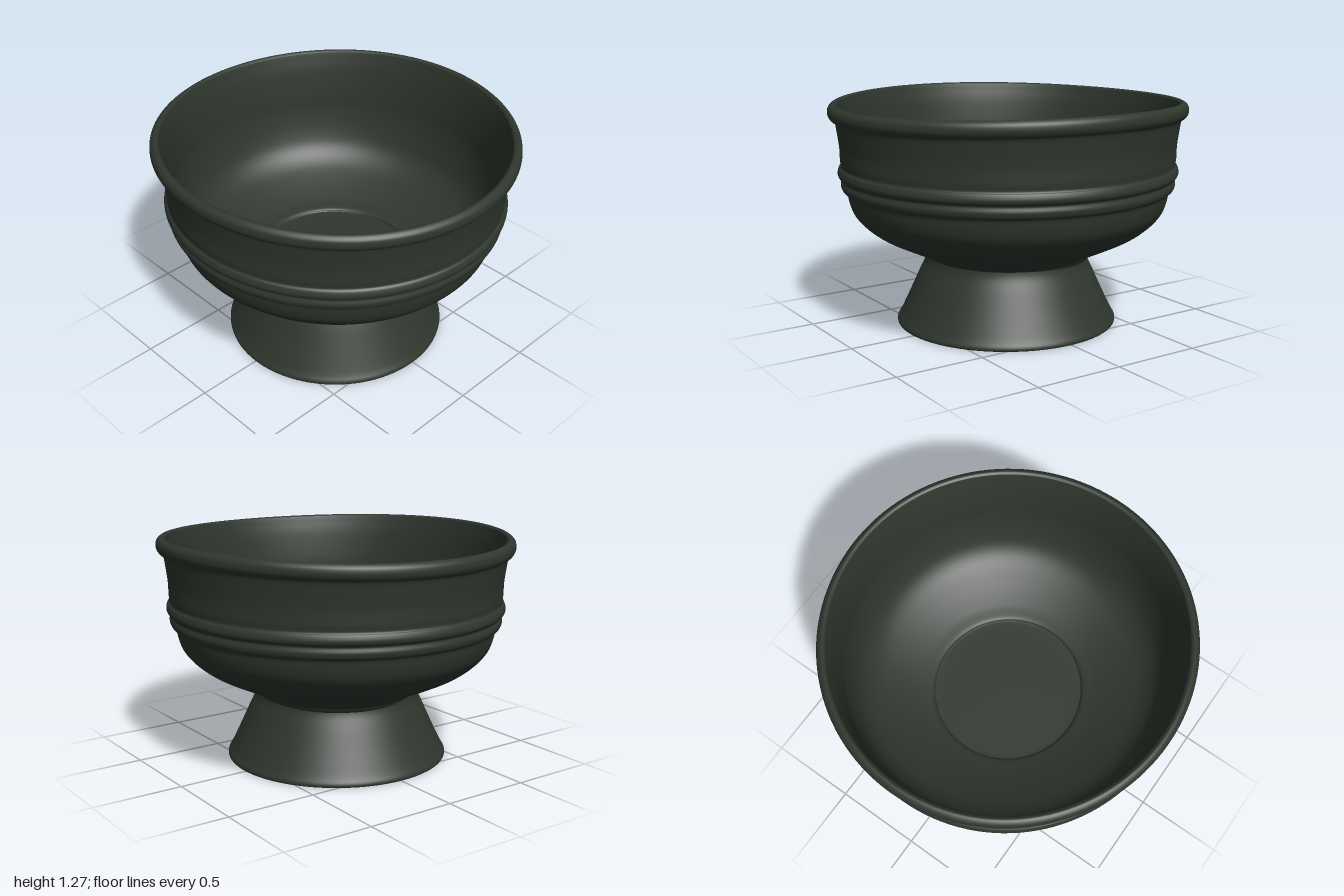
import * as THREE from 'three';

const darkGreen = new THREE.MeshStandardMaterial({ color: 0x2f372e, side: THREE.DoubleSide });
darkGreen.name = 'dark green';

// Smooth curve through [radius, height] points, sampled for a lathe
function smooth(points, samples) {
  const curve = new THREE.SplineCurve(points.map(([r, y]) => new THREE.Vector2(r, y)));
  return curve.getPoints(samples);
}

function lathe(name, profile) {
  const mesh = new THREE.Mesh(new THREE.LatheGeometry(profile, 128), darkGreen);
  mesh.name = name;
  return mesh;
}

// The rim dips slightly at the left and right and rises at the front and back
function warpRim(geometry) {
  const p = geometry.attributes.position;
  for (let i = 0; i < p.count; i++) {
    const x = p.getX(i), y = p.getY(i), z = p.getZ(i);
    const angle = Math.atan2(z, x);
    const amount = THREE.MathUtils.smoothstep(y, 0.9, 1.25);
    p.setY(i, y - 0.011 * Math.cos(2 * angle) * amount);
  }
  // Average the normals across the seam by keeping the lathe's own smooth normals
}

export function createModel() {
  const group = new THREE.Group();
  group.name = 'footedBowl';

  // Outer wall: rounded belly, two raised bands, flared wall and rolled lip
  const outer = smooth([
    [0.455, 0.385], [0.51, 0.42], [0.62, 0.47], [0.74, 0.53], [0.82, 0.59],
    [0.87, 0.65], [0.893, 0.71], [0.905, 0.765], [0.928, 0.782], [0.937, 0.81],
    [0.93, 0.84], [0.947, 0.855], [0.953, 0.875], [0.946, 0.9], [0.935, 0.915],
    [0.938, 0.95], [0.94, 1.02], [0.95, 1.1], [0.962, 1.165], [0.985, 1.18],
    [0.998, 1.205], [0.996, 1.235], [0.982, 1.253], [0.965, 1.26], [0.95, 1.252],
  ], 150);

  // Inner wall running down to a shallow round recess in the floor
  const inner = smooth([
    [0.95, 1.252], [0.942, 1.22], [0.925, 1.14], [0.908, 1.0], [0.9, 0.88],
    [0.875, 0.75], [0.835, 0.65], [0.76, 0.575], [0.64, 0.515], [0.52, 0.47],
    [0.445, 0.45], [0.43, 0.435], [0.41, 0.428], [0.2, 0.425], [0, 0.425],
  ], 90);

  const underside = [new THREE.Vector2(0, 0.36), new THREE.Vector2(0.45, 0.365)];
  const bowl = lathe('bowl', [...underside, ...outer, ...inner.slice(1)]);
  warpRim(bowl.geometry);
  bowl.scale.z = 0.983;
  group.add(bowl);

  // Hollow flared foot, slightly off centre
  const footInside = smooth([[0.43, 0.37], [0.49, 0.22], [0.55, 0.1], [0.6, 0.005]], 16);
  const footOutside = smooth([
    [0.61, 0], [0.622, 0.004], [0.622, 0.022], [0.6, 0.06], [0.55, 0.165],
    [0.5, 0.275], [0.465, 0.35], [0.455, 0.395],
  ], 32);
  const foot = lathe('foot', [...footInside, ...footOutside]);
  foot.position.set(0.008, 0, 0.012);
  group.add(foot);

  return group;
}
